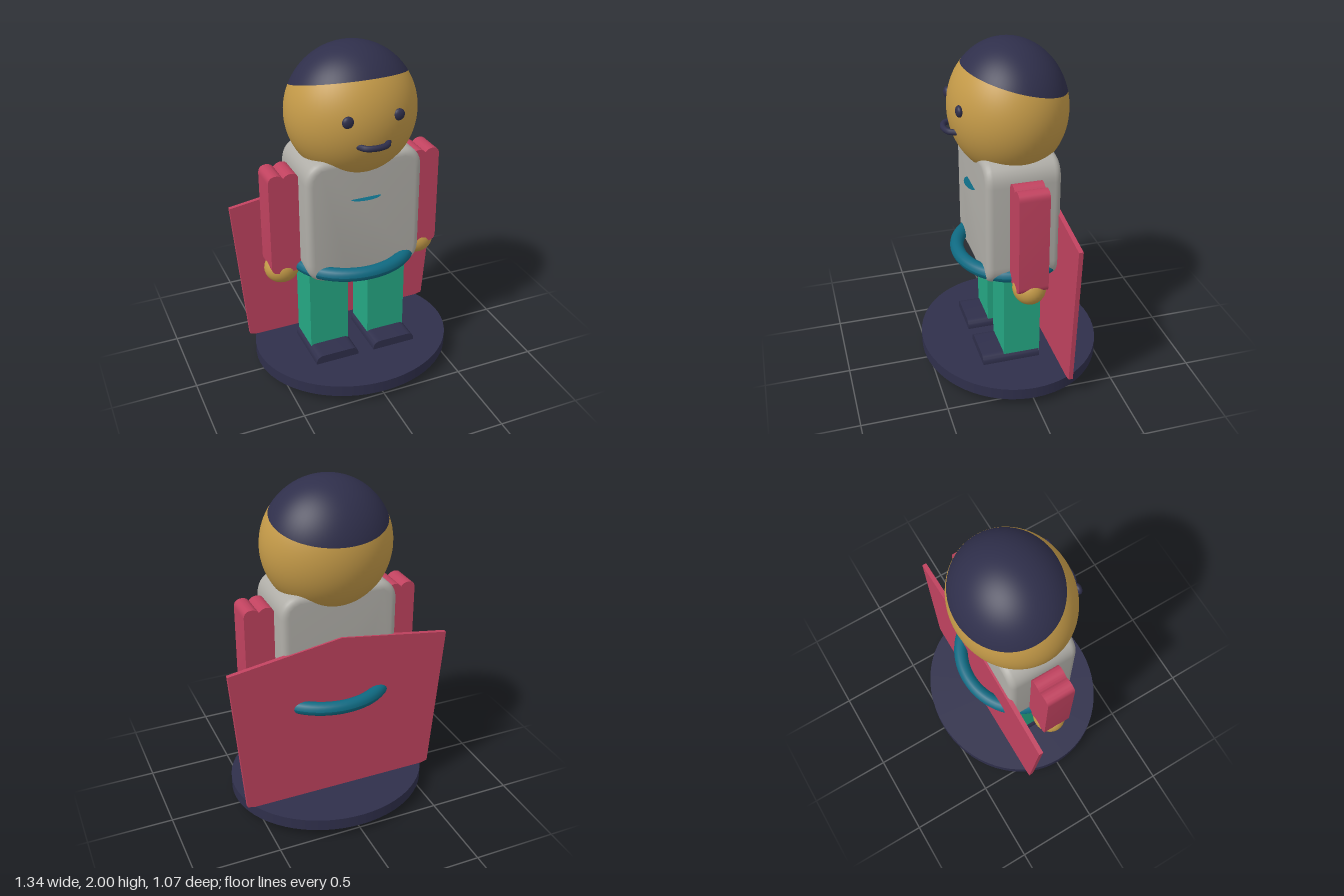
import * as THREE from 'three';
import { toCreasedNormals } from 'three/addons/utils/BufferGeometryUtils.js';

const material = (name, color, side = THREE.FrontSide) => {
  const m = new THREE.MeshStandardMaterial({ color, side });
  m.name = name;
  return m;
};

// Rounded panel with optional soft notches in the middle of its top and bottom edges, centred on z
function panel(w, y0, y1, depth, r, { bevel = 0, top = 0, bottom = 0 } = {}) {
  const x = w / 2 - bevel, a = y0 + bevel, b = y1 - bevel, c = x - r;
  const s = new THREE.Shape();
  s.moveTo(x, a + r);
  s.lineTo(x, b - r);
  s.quadraticCurveTo(x, b, c, b);
  if (top) {
    s.quadraticCurveTo(c * 0.4, b, 0, b - top);
    s.quadraticCurveTo(-c * 0.4, b, -c, b);
  } else s.lineTo(-c, b);
  s.quadraticCurveTo(-x, b, -x, b - r);
  s.lineTo(-x, a + r);
  s.quadraticCurveTo(-x, a, -c, a);
  if (bottom) s.quadraticCurveTo(0, a + bottom * 2, c, a);
  else s.lineTo(c, a);
  s.quadraticCurveTo(x, a, x, a + r);
  const d = depth - 2 * bevel;
  const g = new THREE.ExtrudeGeometry(s, {
    depth: d, curveSegments: 8, bevelEnabled: bevel > 0,
    bevelSize: bevel, bevelThickness: bevel, bevelSegments: 5,
  });
  g.translate(0, 0, -d / 2);
  return toCreasedNormals(g, 0.6);
}

export function createModel() {
  const group = new THREE.Group();
  const skin = material('skin gold', 0xc49a48);
  const navy = material('dark navy', 0x2f2f4b);
  const red = material('crimson', 0xc0425f);
  const grey = material('shirt grey', 0xb0aea8);
  const green = material('trouser green', 0x25a884);
  const teal = material('belt teal', 0x0f6a82);
  const tealThin = material('badge teal', 0x0f6a82, THREE.DoubleSide);

  const add = (name, geometry, mat, x = 0, y = 0, z = 0) => {
    const m = new THREE.Mesh(geometry, mat);
    m.name = name;
    m.position.set(x, y, z);
    group.add(m);
    return m;
  };

  // Oval stand
  add('base', new THREE.CylinderGeometry(1, 1, 0.07, 64).scale(0.6, 1, 0.535), navy, 0, 0.085, 0);

  // Cape: flat six-sided sheet behind the body
  const capeShape = new THREE.Shape([
    [0, 0], [0.595, 0.13], [0.67, 1.03], [0, 1.13], [-0.67, 1.03], [-0.595, 0.13],
  ].map(([x, y]) => new THREE.Vector2(x, y)));
  add('cape', new THREE.ExtrudeGeometry(capeShape, { depth: 0.026, bevelEnabled: false }), red, 0, 0, -0.222);

  // Torso and belt
  add('torso', panel(0.695, 0.665, 1.42, 0.425, 0.09, { bevel: 0.04, bottom: 0.012 }), grey, 0, 0, 0.002);
  const belt = new THREE.TorusGeometry(0.3, 0.04, 16, 64).rotateX(Math.PI / 2).scale(1.14, 1, 1);
  belt.computeVertexNormals();
  add('belt', belt, teal, 0, 0.73, 0);

  // Thin badge ledge on the chest
  add('chestBadge', new THREE.CircleGeometry(1, 24, Math.PI, Math.PI).rotateX(-Math.PI / 2).scale(0.09, 1, 0.038),
    tealThin, 0, 1.17, 0.214);

  // Head and hair share one ellipsoid, split along a tilted plane
  const cut = 1.092;
  const headPart = (start, length) => new THREE.SphereGeometry(1, 64, 40, 0, Math.PI * 2, start, length)
    .rotateX(-0.236).scale(0.375, 0.38, 0.335);
  add('head', headPart(cut, Math.PI - cut), skin, 0, 1.62, 0);
  add('hair', headPart(0, cut), navy, 0, 1.62, 0);

  // Mouth: horizontal bar bowed forward, with rounded ends
  const mouthPath = new THREE.CatmullRomCurve3(
    [-2, -1, 0, 1, 2].map((i) => new THREE.Vector3(0.085 * Math.sin(i * Math.PI / 4), 0, 0.055 * Math.cos(i * Math.PI / 4))));
  add('mouth', new THREE.TubeGeometry(mouthPath, 32, 0.017, 10), navy, 0, 1.53, 0.308);

  for (const side of [-1, 1]) {
    const label = side > 0 ? 'left' : 'right';
    const x = (v) => v * side;
    add(label + 'MouthCorner', new THREE.SphereGeometry(0.017, 12, 8), navy, x(0.085), 1.53, 0.308);
    add(label + 'Eye', new THREE.SphereGeometry(1, 20, 14).scale(0.033, 0.033, 0.02), navy, x(0.145), 1.675, 0.306);
    add(label + 'Arm', panel(0.175, 0.71, 1.33, 0.17, 0.045, { top: 0.022 }), red, x(0.433), 0, 0);
    add(label + 'Hand', new THREE.SphereGeometry(1, 28, 20).scale(0.103, 0.092, 0.094), skin, x(0.435), 0.702, 0);
    add(label + 'Leg', new THREE.BoxGeometry(0.24, 0.55, 0.22), green, x(0.185), 0.415, 0);
    add(label + 'Shoe', panel(0.27, 0.07, 0.172, 0.345, 0.049), navy, x(0.185), 0, 0.067);
  }
  return group;
}
